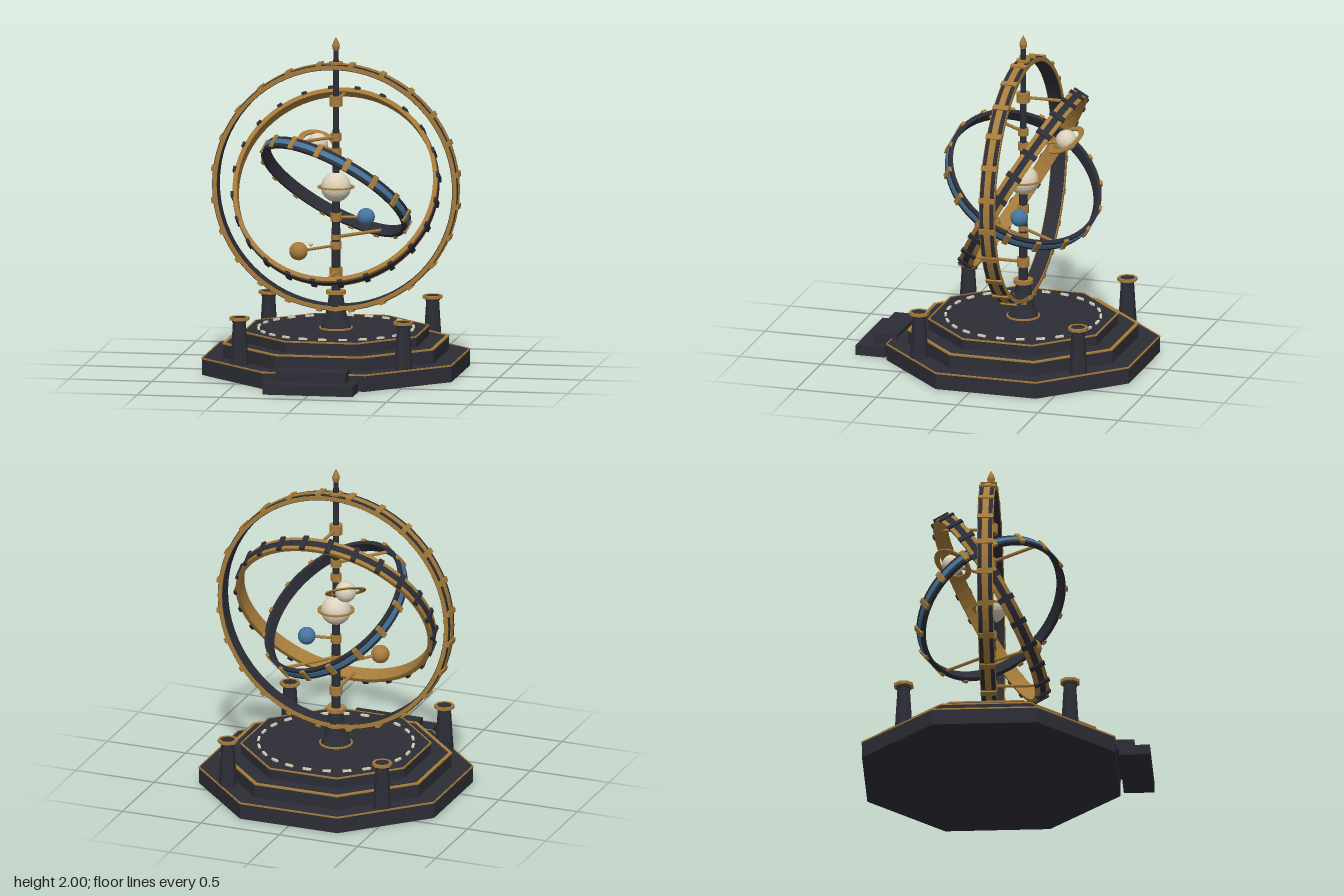
import * as THREE from 'three';

const mat = (name, color) => {
  const m = new THREE.MeshStandardMaterial({ color, flatShading: true });
  m.name = name;
  return m;
};
const V = (x, y, z) => new THREE.Vector3(x, y, z);

export function createModel() {
  const dark = mat('dark iron', 0x2d2d37);
  const gold = mat('aged gold', 0xa67c3a);
  const blue = mat('steel blue', 0x47759f);
  const cream = mat('cream', 0xdcd2bc);

  const root = new THREE.Group();
  root.name = 'orrery';
  const body = new THREE.Group();
  body.name = 'mechanism';
  body.position.z = -0.1;
  root.add(body);

  const add = (name, geo, material, pos = [0, 0, 0], parent = body) => {
    const m = new THREE.Mesh(geo, material);
    m.name = name;
    m.position.set(...pos);
    parent.add(m);
    return m;
  };
  // Square-section hoop around y
  const hoop = (ri, ro, y0, y1, segs = 72, phase = 0) => new THREE.LatheGeometry(
    [[ri, y0], [ro, y0], [ro, y1], [ri, y1], [ri, y0]].map(p => new THREE.Vector2(...p)), segs, phase);
  // Octagons are sized by the distance to a flat side
  const K = 1 / Math.cos(Math.PI / 8);
  const octagon = (top, bottom, h) =>
    new THREE.CylinderGeometry(top * K, bottom * K, h, 8).rotateY(Math.PI / 8);
  const octRing = (a, b, y0, y1) => hoop(a * K, b * K, y0, y1, 8, Math.PI / 8);
  const rod = (name, a, b, r = 0.01) => {
    const d = b.clone().sub(a);
    const m = add(name, new THREE.CylinderGeometry(r, r, d.length(), 8), gold,
      a.clone().add(b).multiplyScalar(0.5).toArray());
    m.quaternion.setFromUnitVectors(V(0, 1, 0), d.normalize());
  };

  // Stepped octagonal base with trimmed edges
  [[0.75, 0, 0.1, 0.004], [0.633, 0.1, 0.185, 0.017], [0.52, 0.185, 0.25, 0.005]].forEach(([a, y0, y1, w]) => {
    add('baseTier', octagon(a, a, y1 - y0), dark, [0, (y0 + y1) / 2, 0]);
    add('tierTrim', octRing(a - w, a + 0.003, y1 - 0.006, y1 + 0.003), gold);
  });

  // Dial marks
  for (let i = 0; i < 24; i++) {
    const t = i / 24 * Math.PI * 2;
    add('dialMark', new THREE.BoxGeometry(0.05, 0.012, 0.014), cream,
      [Math.sin(t) * 0.46, 0.256, Math.cos(t) * 0.46]).rotation.y = t;
  }

  // Front steps
  add('lowerStep', new THREE.BoxGeometry(0.54, 0.062, 0.182), dark, [0, 0.031, 0.764], root);
  add('upperStep', new THREE.BoxGeometry(0.42, 0.065, 0.14), dark, [0, 0.0935, 0.69], root);

  // Corner posts
  for (const sx of [-1, 1]) for (const sz of [-1, 1]) {
    const post = new THREE.Group();
    post.name = 'cornerPost';
    post.position.set(sx * 0.493, 0.1, sz * 0.493);
    body.add(post);
    add('postShaft', octagon(0.036, 0.051, 0.26), dark, [0, 0.13, 0], post);
    add('postCap', octagon(0.046, 0.04, 0.03), dark, [0, 0.268, 0], post);
    add('postTrim', octRing(0.042, 0.056, 0.267, 0.285), gold, [0, 0, 0], post);
  }

  // Flared foot, shaft, finial
  add('foot', new THREE.LatheGeometry([[0.092, 0.25], [0.088, 0.27], [0.07, 0.31], [0.055, 0.37], [0.042, 0.46], [0, 0.46]]
    .map(p => new THREE.Vector2(...p)), 20), dark);
  add('footRing', hoop(0.08, 0.1, 0.25, 0.26, 24), gold);
  add('lowerShaft', new THREE.CylinderGeometry(0.024, 0.028, 0.66, 12), dark, [0, 0.78, 0]);
  add('upperShaft', new THREE.CylinderGeometry(0.016, 0.022, 0.84, 12), dark, [0, 1.52, 0]);
  add('finial', new THREE.LatheGeometry([[0, 1.92], [0.018, 1.92], [0.024, 1.945], [0.016, 1.97], [0, 2]]
    .map(p => new THREE.Vector2(...p)), 12), gold);
  [[0.47, 0.06, 0.022], [0.59, 0.038, 0.055], [0.75, 0.033, 0.045], [0.8, 0.03, 0.03], [0.92, 0.034, 0.05],
    [1.31, 0.032, 0.045], [1.4, 0.032, 0.045], [1.615, 0.04, 0.06], [1.835, 0.042, 0.03], [0.375, 0.06, 0.025]]
    .forEach(([y, r, h]) => add('collar', new THREE.CylinderGeometry(r, r, h, 12), gold, [0, y, 0]));

  // Great rings: band, outer stripe and clasps
  const ring = (name, normal, ri, ro, w, count, band, stripe, clasp) => {
    const g = new THREE.Group();
    g.name = name;
    g.position.y = 1.1;
    g.quaternion.setFromUnitVectors(V(0, 1, 0), normal.normalize());
    body.add(g);
    add('band', hoop(ri, ro, -w / 2, w / 2), band, [0, 0, 0], g);
    add('stripe', hoop(ro - 0.005, ro + 0.004, -w * 0.22, w * 0.22), stripe, [0, 0, 0], g);
    for (let i = 0; i < count; i++) {
      const t = (i + 0.5) / count * Math.PI * 2;
      add('clasp', new THREE.BoxGeometry(0.032, w + 0.012, 0.018), clasp,
        [Math.sin(t) * (ro + 0.002), 0, Math.cos(t) * (ro + 0.002)], g).rotation.y = t;
    }
    return g;
  };
  const outer = ring('outerRing', V(0, 0, 1), 0.706, 0.738, 0.085, 24, dark, gold, gold);
  for (const s of [-1, 1])
    add('rim', hoop(0.71, 0.734, -0.004, 0.004), gold, [0, s * 0.0435, 0], outer);
  ring('middleRing', V(0, 0.5, 0.866), 0.588, 0.614, 0.085, 24, gold, dark, dark);
  ring('innerRing', V(0.39, 0.77, -0.5), 0.46, 0.485, 0.07, 16, dark, blue, gold);

  // Ring supports
  rod('middleRingStrut', V(0, 1.615, 0), V(0, 1.615, -0.29));
  rod('middleRingStrut', V(0, 0.59, 0), V(0, 0.59, 0.29));
  rod('innerRingStrut', V(0, 1.4, 0), V(-0.22, 1.4, 0.28));
  rod('innerRingStrut', V(0, 0.8, 0), V(0.22, 0.8, -0.28));

  // Globes and their arms
  const globe = (name, p, r, m) => add(name, new THREE.IcosahedronGeometry(r, 3), m, p);
  globe('sun', [0, 1.1, 0], 0.09, cream);
  add('sunRing', hoop(0.094, 0.11, -0.004, 0.004, 32), gold, [0, 1.1, 0]);
  globe('ringedGlobe', [-0.15, 1.32, -0.22], 0.063, cream);
  add('globeRing', hoop(0.088, 0.122, -0.004, 0.004, 32), gold, [-0.15, 1.32, -0.22])
    .quaternion.setFromUnitVectors(V(0, 1, 0), V(0.3, 0.85, 0.45).normalize());
  globe('blueGlobe', [0.175, 0.92, -0.03], 0.053, blue);
  globe('goldGlobe', [-0.18, 0.75, 0.255], 0.055, gold);
  globe('moon', [-0.11, 0.79, 0.23], 0.013, cream);
  rod('globeArm', V(0, 1.31, 0), V(-0.12, 1.315, -0.176), 0.009);
  rod('globeArm', V(0, 0.92, 0), V(0.14, 0.92, -0.024), 0.009);
  rod('globeArm', V(0, 0.75, 0), V(-0.16, 0.75, 0.227), 0.009);

  return root;
}
